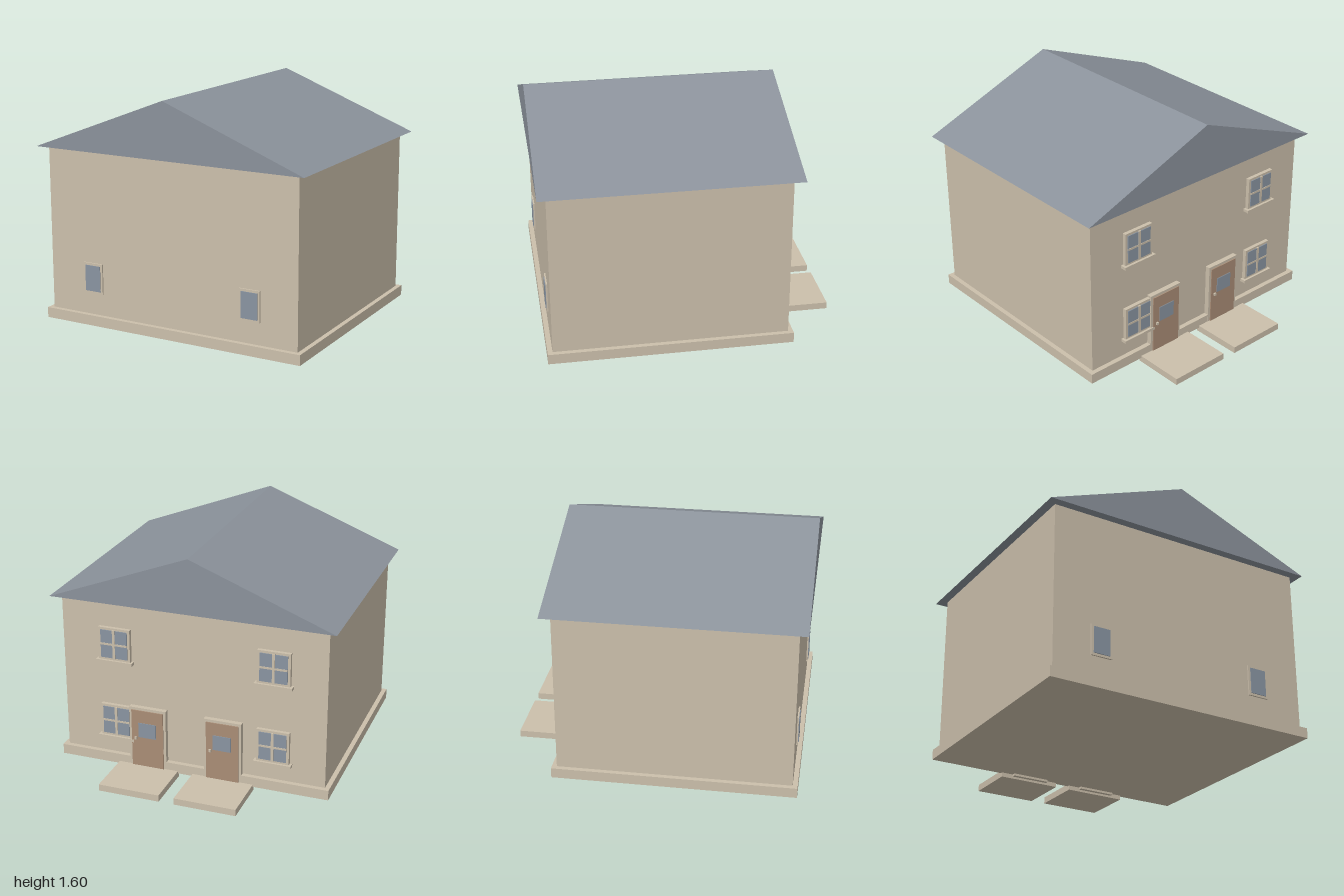
import * as THREE from 'three';

const mat = (name, color) => {
  const m = new THREE.MeshStandardMaterial({ color });
  m.name = name;
  return m;
};

export function createModel() {
  const house = new THREE.Group();
  house.name = 'house';
  const stone = mat('beige stone', 0xcbbfab);
  const slate = mat('slate grey', 0x8b929b);
  const glass = mat('window glass', 0x8994a1);
  const wood = mat('brown door', 0xa98d76);

  // Box given by its limits on each axis
  const box = (parent, name, material, x0, x1, y0, y1, z0, z1) => {
    const mesh = new THREE.Mesh(new THREE.BoxGeometry(x1 - x0, y1 - y0, z1 - z0), material);
    mesh.position.set((x0 + x1) / 2, (y0 + y1) / 2, (z0 + z1) / 2);
    mesh.name = name;
    parent.add(mesh);
    return mesh;
  };
  const group = (name) => {
    const g = new THREE.Group();
    g.name = name;
    house.add(g);
    return g;
  };

  // Plinth and walls
  box(house, 'plinth', stone, -0.957, 0.957, 0.03, 0.1, -0.655, 0.975);
  box(house, 'walls', stone, -0.925, 0.925, 0.1, 1.22, -0.622, 0.942);

  // Solid gable roof
  const gable = new THREE.Shape();
  gable.moveTo(-0.985, 1.218);
  gable.lineTo(0.985, 1.218);
  gable.lineTo(0, 1.598);
  const roof = new THREE.Mesh(
    new THREE.ExtrudeGeometry(gable, { depth: 1.688, bevelEnabled: false }), slate);
  roof.position.z = -0.688;
  roof.name = 'roof';
  house.add(roof);

  // Small front windows
  for (const x of [-0.59, 0.59]) {
    const w = group('frontWindow');
    box(w, 'frame', stone, x - 0.074, x + 0.074, 0.248, 0.456, 0.93, 0.952);
    box(w, 'pane', glass, x - 0.058, x + 0.058, 0.264, 0.44, 0.95, 0.957);
  }

  // Back windows with sill, four panes and glazing bars
  for (const x of [-0.568, 0.545]) {
    for (const y of [0.235, 0.8]) {
      const w = group('backWindow');
      const top = y + 0.23, mid = y + 0.115;
      box(w, 'sill', stone, x - 0.13, x + 0.13, y - 0.02, y, -0.665, -0.61);
      box(w, 'frame', stone, x - 0.113, x + 0.113, y, top, -0.648, -0.61);
      box(w, 'pane', glass, x - 0.095, x + 0.095, y + 0.016, top - 0.016, -0.654, -0.647);
      box(w, 'upright', stone, x - 0.009, x + 0.009, y + 0.012, top - 0.012, -0.658, -0.647);
      box(w, 'crossbar', stone, x - 0.095, x + 0.095, mid - 0.007, mid + 0.007, -0.657, -0.647);
    }
  }

  // Back doors, each with a step slab
  for (const x of [-0.222, 0.314]) {
    const d = group('backDoor');
    box(d, 'casing', stone, x - 0.132, x + 0.132, 0.015, 0.48, -0.657, -0.61);
    box(d, 'panel', wood, x - 0.114, x + 0.114, 0.03, 0.462, -0.664, -0.655);
    box(d, 'doorPane', glass, x - 0.063, x + 0.063, 0.265, 0.372, -0.669, -0.662);
    box(d, 'handle', stone, x + 0.075, x + 0.092, 0.246, 0.264, -0.675, -0.662);
    box(house, 'stepSlab', stone, x - 0.215, x + 0.215, 0, 0.046, -1, -0.636);
  }
  return house;
}
